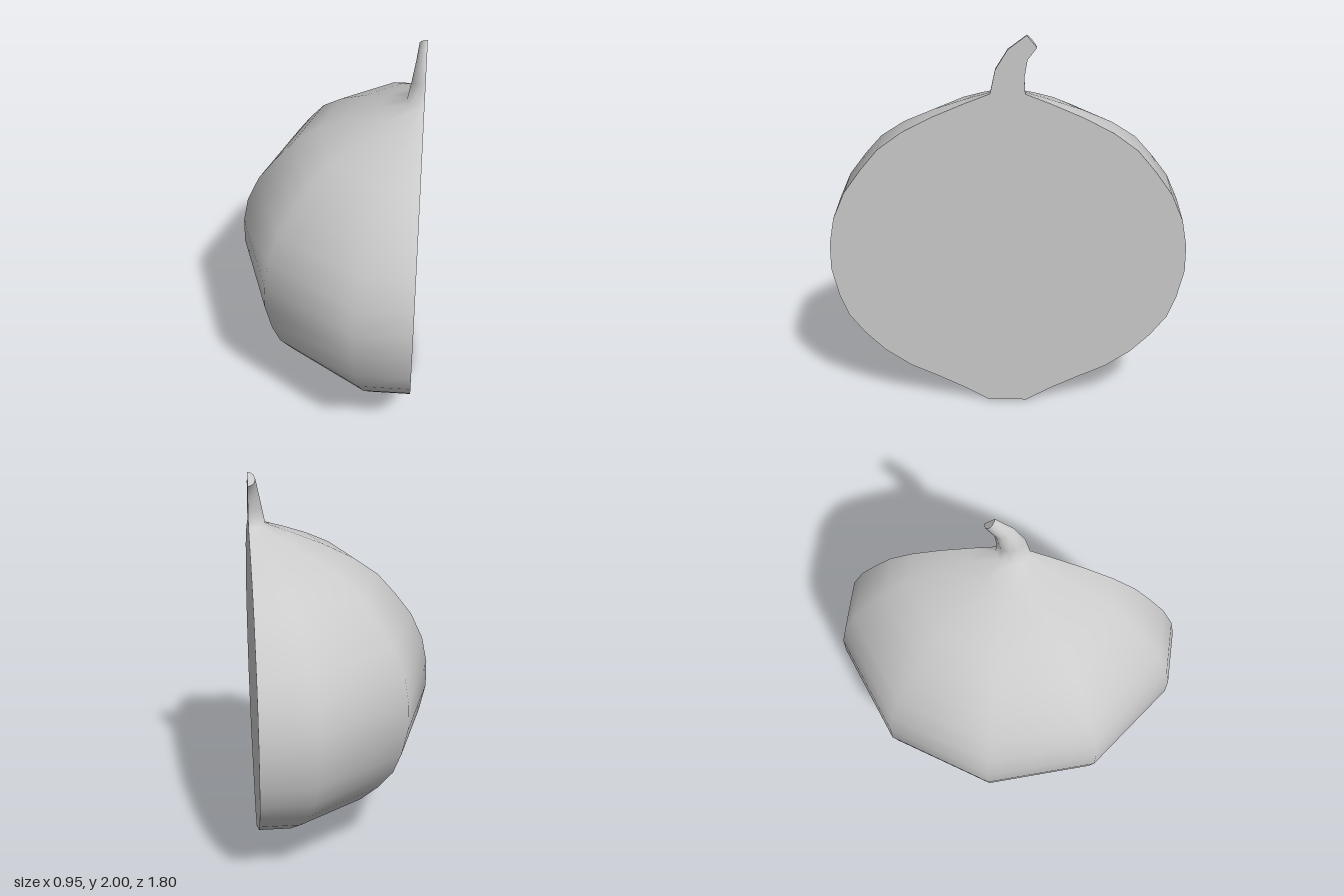
import * as THREE from 'three';

const CUT_X = 0.47;

// Half of a ten-sided ring, from the cut edge at +z round the back to -z: [depth, side]
const HALF_RING = [
  [0, 1], [0.309, 1], [0.809, 0.618], [1, 0], [0.809, -0.618], [0.309, -1], [0, -1],
];

// Fruit rings: [half width on the cut, height]
const BODY = [
  [0.1, 0], [0.22, 0.07], [0.36, 0.14], [0.51, 0.21], [0.64, 0.3], [0.74, 0.4],
  [0.82, 0.505], [0.865, 0.62], [0.9, 0.77], [0.9, 0.91], [0.875, 1.05], [0.815, 1.19],
  [0.73, 1.31], [0.64, 1.42], [0.52, 1.51], [0.37, 1.59], [0.21, 1.66], [0.085, 1.71],
];

// Stem rings, tilting as it bends: [front z, front y, rear z, rear y, depth]
const STEM = [
  [0.06, 1.83, -0.08, 1.79, 0.07],
  [0, 1.93, -0.095, 1.88, 0.052],
  [-0.09, 2, -0.14, 1.94, 0.04],
];

function makeRing([zf, yf, zr, yr, depth]) {
  return HALF_RING.map(([d, s]) => new THREE.Vector3(
    CUT_X - d * depth,
    (yf + yr) / 2 + s * (yf - yr) / 2,
    (zf + zr) / 2 + s * (zf - zr) / 2,
  ));
}

function makeMesh(name, points, index, material) {
  const geometry = new THREE.BufferGeometry().setFromPoints(points);
  geometry.setIndex(index);
  geometry.computeVertexNormals();
  const mesh = new THREE.Mesh(geometry, material);
  mesh.name = name;
  return mesh;
}

// Quads between successive rows of n points
function stitch(rows, n) {
  const index = [];
  for (let j = 0; j < rows - 1; j++) {
    for (let i = 0; i < n - 1; i++) {
      const a = j * n + i, b = a + n;
      index.push(a, b, a + 1, a + 1, b, b + 1);
    }
  }
  return index;
}

// Fan closing an end ring
function fan(n, up) {
  const index = [];
  for (let i = 1; i < n - 1; i++) index.push(0, up ? i + 1 : i, up ? i : i + 1);
  return index;
}

export function createModel() {
  const group = new THREE.Group();
  group.name = 'halvedFruit';
  const material = new THREE.MeshStandardMaterial({ color: 0xcccccc });

  const rings = [
    ...BODY.map(([w, y]) => [w, y, -w, y, w / 0.951]),
    ...STEM,
  ].map(makeRing);
  const n = HALF_RING.length;

  // Rounded skin flowing into the stem
  group.add(makeMesh('skinAndStem', rings.flat(), stitch(rings.length, n), material));

  // Flat cut face, running through fruit and stem
  const cutEdges = rings.flatMap((r) => [r[n - 1], r[0]]);
  group.add(makeMesh('cutFace', cutEdges, stitch(rings.length, 2), material));

  // Flat ends
  group.add(makeMesh('base', rings[0], fan(n, false), material));
  group.add(makeMesh('stemTip', rings[rings.length - 1], fan(n, true), material));

  return group;
}
